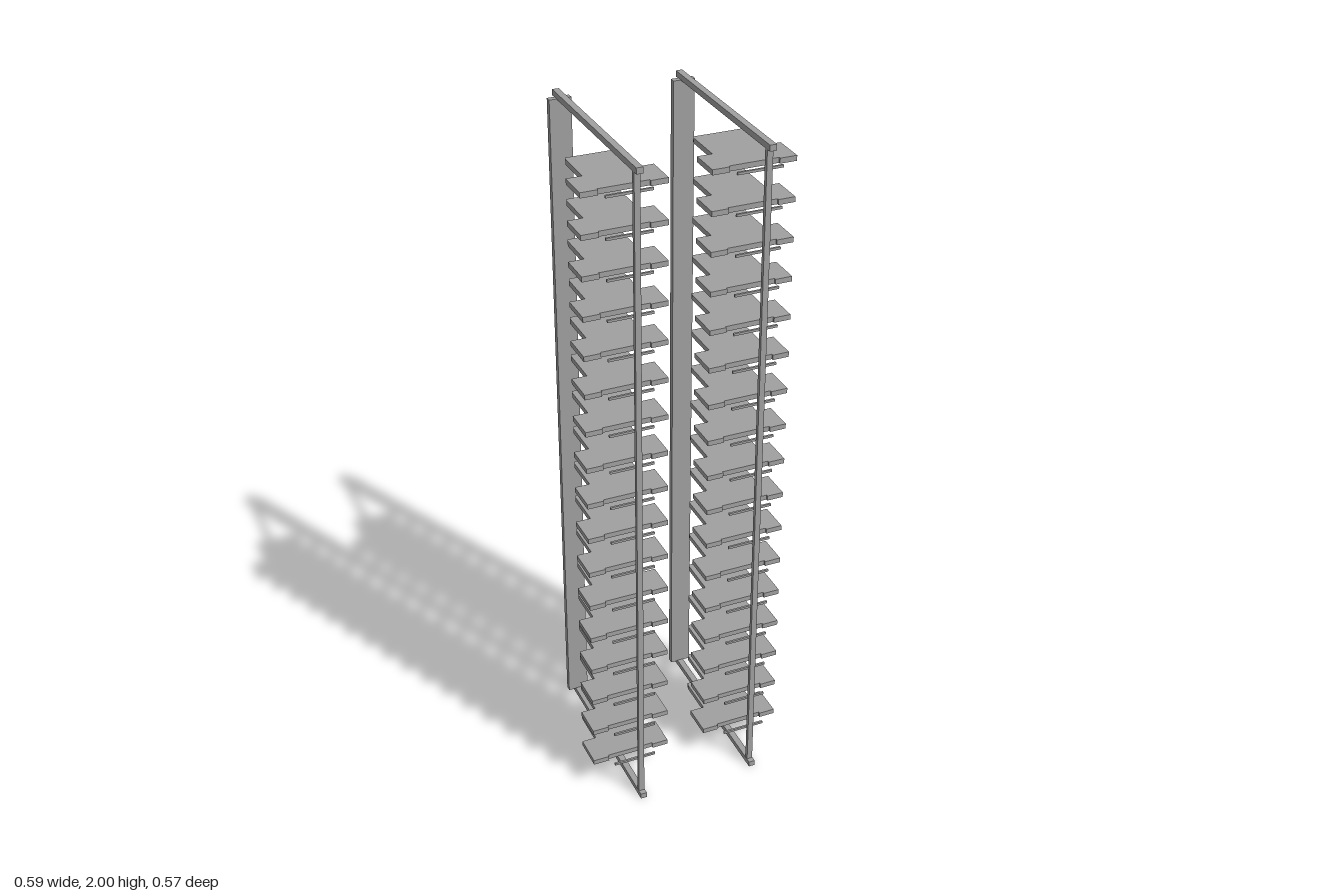
import * as THREE from 'three';

export function createModel() {
  const model = new THREE.Group();
  model.name = 'shelfRacks';
  const grey = new THREE.MeshStandardMaterial({ color: 0xa0a0a0 });
  grey.name = 'grey';

  function box(parent, name, w, h, d, x, y, z) {
    const mesh = new THREE.Mesh(new THREE.BoxGeometry(w, h, d), grey);
    mesh.name = name;
    mesh.position.set(x, y, z);
    parent.add(mesh);
  }

  // T-shaped shelf outline: x across, second value is z; mirrored across x
  const half = [[0.07, 0.182], [0.07, 0.188], [0.118, 0.188], [0.118, 0.094],
    [0.075, 0.094], [0.075, -0.022], [0.072, -0.03]];
  const outline = [...half, ...half.map(([x, z]) => [-x, z]).reverse()];
  const thickness = 0.015;
  const shelfGeometry = new THREE.ExtrudeGeometry(
    new THREE.Shape(outline.map(([x, z]) => new THREE.Vector2(x, -z))),
    { depth: thickness, bevelEnabled: false });
  shelfGeometry.rotateX(-Math.PI / 2);
  shelfGeometry.translate(0, -thickness / 2, 0);

  for (const side of [-1, 1]) {
    const rack = new THREE.Group();
    rack.name = side > 0 ? 'leftRack' : 'rightRack';
    rack.position.x = side * 0.177;
    model.add(rack);

    // Upright frame
    box(rack, 'bottomRail', 0.0185, 0.017, 0.57, 0, 0.0085, 0);
    box(rack, 'topRail', 0.0185, 0.017, 0.57, 0, 1.9915, 0);
    box(rack, 'frontPost', 0.0165, 1.97, 0.012, 0, 1, 0.263);
    box(rack, 'backPost', 0.062, 1.97, 0.018, 0, 1, -0.259);

    // Stacked shelves, each with a slim bar in front
    for (let i = 0; i < 17; i++) {
      const y = 0.099 + i * 0.1131;
      const shelf = new THREE.Mesh(shelfGeometry, grey);
      shelf.name = 'shelf';
      shelf.position.y = y;
      rack.add(shelf);
      box(rack, 'shelfBar', 0.128, 0.007, 0.006, 0, y, 0.218);
    }
  }
  return model;
}
